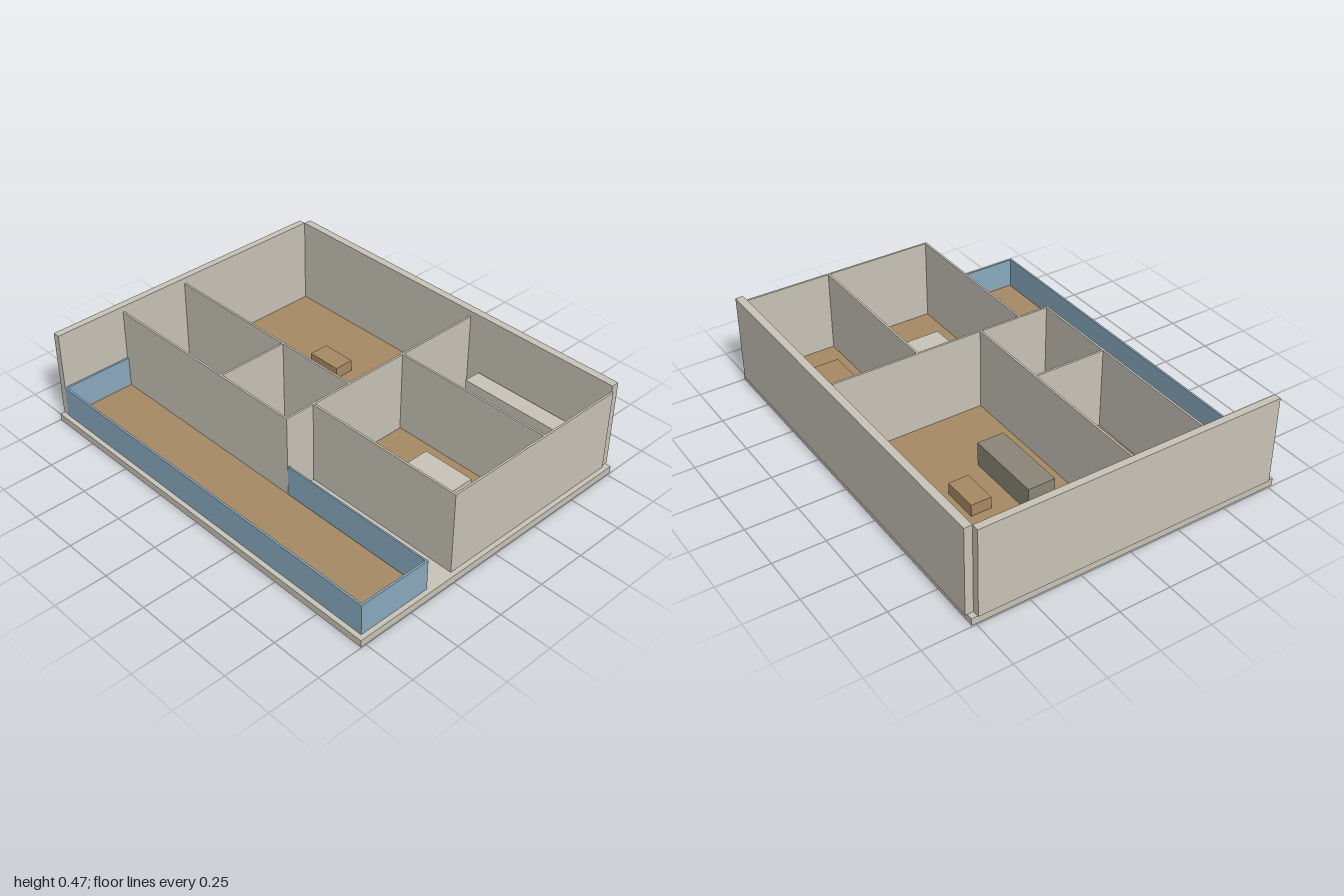
import * as THREE from 'three';

const material = (name, color) => {
  const m = new THREE.MeshStandardMaterial({ color });
  m.name = name;
  return m;
};

export function createModel() {
  const plaster = material('plaster', 0xc8c4b8);
  const wood = material('wood', 0xa68a64);
  const glass = material('blue glass', 0x8aaabf);
  const fabric = material('grey fabric', 0x8a8678);

  const model = new THREE.Group();
  model.name = 'apartment';

  // Box given by its extents on each axis
  const block = (name, mat, x0, x1, y0, y1, z0, z1) => {
    const mesh = new THREE.Mesh(new THREE.BoxGeometry(x1 - x0, y1 - y0, z1 - z0), mat);
    mesh.position.set((x0 + x1) / 2, (y0 + y1) / 2, (z0 + z1) / 2);
    mesh.name = name;
    model.add(mesh);
  };

  const base = 0.036, floorTop = 0.041, outer = 0.472, inner = 0.443, rail = 0.19;

  block('slab', plaster, -0.995, 0.998, 0, base, -0.77, 0.775);

  // Thick outer walls
  block('sideWall', plaster, -1, -0.965, base, outer, -0.742, 0.75);
  block('backWall', plaster, -0.965, 0.968, base, outer, -0.78, -0.742);

  // Thin partitions: x0, x1, z0, z1
  const partitions = {
    rightWall: [0.965, 0.975, -0.742, 0.245],
    middleWall: [0.151, 0.161, -0.742, 0.395],
    livingRoomWall: [-0.965, 0.151, 0.023, 0.033],
    bathroomWall: [-0.275, -0.265, 0.033, 0.385],
    kitchenWall: [0.161, 0.965, -0.304, -0.294],
    bedroomFrontWall: [0.161, 0.965, 0.235, 0.245],
    frontWall: [-0.965, 0.151, 0.385, 0.395],
  };
  for (const [name, [x0, x1, z0, z1]] of Object.entries(partitions))
    block(name, plaster, x0, x1, base, inner, z0, z1);

  // Wooden floors: x0, x1, z0, z1
  const floors = {
    livingRoomFloor: [-0.961, 0.147, -0.739, 0.02],
    kitchenFloor: [0.165, 0.961, -0.739, -0.307],
    bedroomFloor: [0.165, 0.961, -0.291, 0.232],
    smallBedroomFloor: [-0.961, -0.278, 0.036, 0.382],
    balconyFloor: [-0.952, 0.962, 0.398, 0.737],
  };
  for (const [name, [x0, x1, z0, z1]] of Object.entries(floors))
    block(name, wood, x0, x1, base, floorTop, z0, z1);

  // Balcony railing
  block('frontRailing', glass, -0.965, 0.975, base, rail, 0.742, 0.752);
  block('backRailing', glass, -0.965, 0.965, base, rail, 0.386, 0.394);
  block('leftRailing', glass, -0.965, -0.956, base, rail, 0.395, 0.742);
  block('rightRailing', glass, 0.965, 0.975, base, rail, 0.385, 0.742);

  // Furniture
  block('sofa', fabric, -0.6, -0.215, base, 0.16, -0.232, -0.097);
  block('coffeeTable', wood, -0.492, -0.315, base, 0.1, -0.445, -0.345);
  block('kitchenCounter', plaster, 0.24, 0.887, base, 0.175, -0.73, -0.642);
  block('diningTable', wood, 0.41, 0.71, base, 0.145, -0.543, -0.413);
  block('bed', plaster, 0.428, 0.696, base, 0.115, -0.183, 0.13);
  block('smallBed', plaster, -0.75, -0.487, base, 0.115, 0.1, 0.313);

  return model;
}
